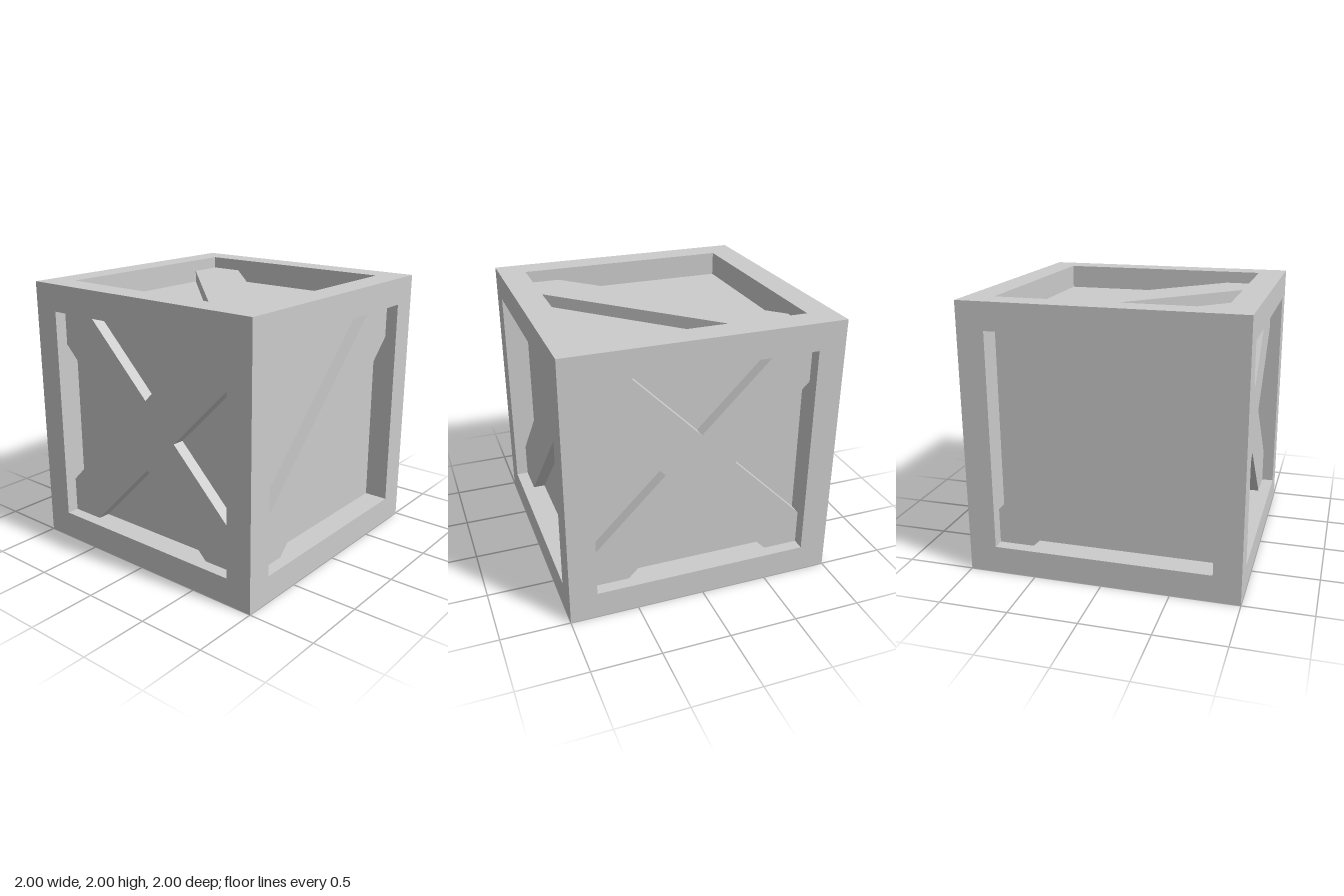
import * as THREE from 'three';

const BEAM = 0.2;         // frame beam thickness
const OPEN = 0.8;         // half width of each framed opening
const CORE = 0.82;        // half size of the inner box (panels recessed 0.18)
const BRACE = 0.09;       // brace thickness
const CUT = 0.54;         // where a brace edge meets the opening

export function createModel() {
  const crate = new THREE.Group();
  crate.name = 'crate';
  const material = new THREE.MeshStandardMaterial({ color: 0xcccccc, flatShading: true });

  const add = (name, geometry, x = 0, y = 1, z = 0) => {
    const mesh = new THREE.Mesh(geometry, material);
    mesh.name = name;
    mesh.position.set(x, y, z);
    crate.add(mesh);
    return mesh;
  };

  // Recessed panels: one inner box
  add('panels', new THREE.BoxGeometry(2 * CORE, 2 * CORE, 2 * CORE));

  // Frame: corner posts, with rails fitted between them
  const post = new THREE.BoxGeometry(BEAM, 2, BEAM);
  const railX = new THREE.BoxGeometry(2 * OPEN, BEAM, BEAM);
  const railZ = new THREE.BoxGeometry(BEAM, BEAM, 2 * OPEN);
  for (const a of [-0.9, 0.9]) {
    for (const b of [-0.9, 0.9]) {
      add('cornerPost', post, a, 1, b);
      add('crossRail', railX, 0, 1 + a, b);
      add('sideRail', railZ, a, 1 + b, 0);
    }
  }

  // Braces, trimmed to the opening and sitting on the panels
  const braceGeometry = (points) => {
    const shape = new THREE.Shape(points.map(([x, y]) => new THREE.Vector2(x, y)));
    const geometry = new THREE.ExtrudeGeometry(shape, { depth: BRACE, bevelEnabled: false });
    return geometry.translate(0, 0, CORE);
  };
  const diagonal = braceGeometry([
    [-OPEN, -OPEN], [-CUT, -OPEN], [OPEN, CUT], [OPEN, OPEN], [CUT, OPEN], [-OPEN, -CUT],
  ]);

  // One quarter of the X, turned four times
  const crossPoints = [];
  for (let i = 0; i < 4; i++) {
    const c = [1, 0, -1, 0][i], s = [0, 1, 0, -1][i];
    for (const [x, y] of [[OPEN - CUT, 0], [OPEN, CUT], [OPEN, OPEN], [CUT, OPEN]]) {
      crossPoints.push([x * c - y * s, x * s + y * c]);
    }
  }
  const cross = braceGeometry(crossPoints);

  add('frontBrace', diagonal);
  add('backBrace', diagonal).rotation.y = Math.PI;
  add('topBrace', diagonal).rotation.x = -Math.PI / 2;
  add('leftCrossBrace', cross).rotation.y = Math.PI / 2;
  add('rightCrossBrace', cross).rotation.y = -Math.PI / 2;

  return crate;
}
